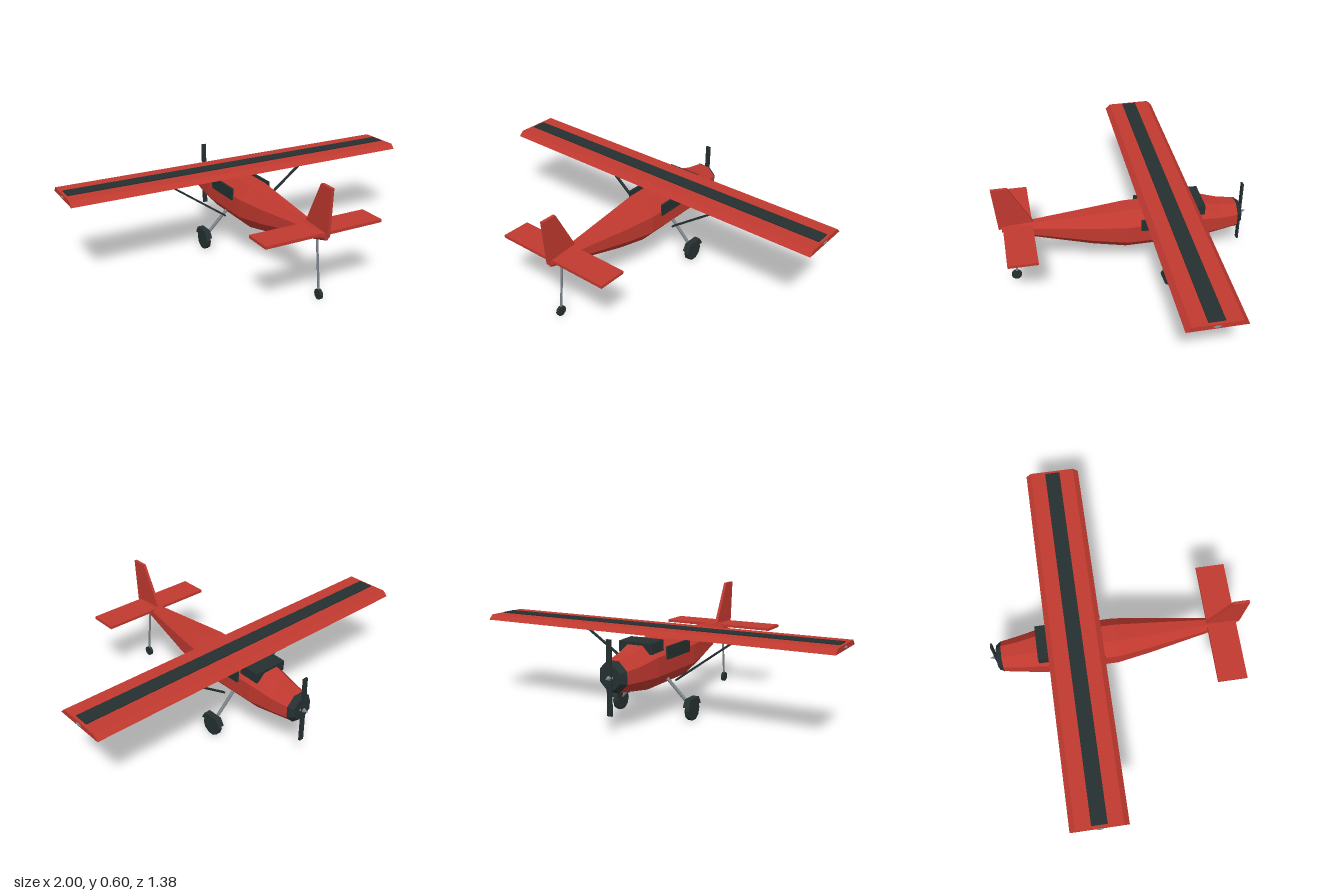
import * as THREE from 'three';

const mat = (name, color) => {
  const m = new THREE.MeshStandardMaterial({ color, flatShading: true });
  m.name = name;
  return m;
};

// Loft of eight-sided rings running from +z to -z: [z, bottom, top, halfWidth]
function octagonLoft(stations) {
  const k = 1 / Math.cos(Math.PI / 8);
  const rings = stations.map(([z, y0, y1, w]) => Array.from({ length: 8 }, (_, j) => {
    const a = (j + 0.5) * Math.PI / 4;
    return [Math.cos(a) * w * k, (y0 + y1) / 2 + Math.sin(a) * (y1 - y0) / 2 * k, z];
  }));
  const pos = [];
  const tri = (...pts) => pts.forEach((p) => pos.push(...p));
  const last = rings[rings.length - 1];
  for (let j = 0; j < 8; j++) {
    const n = (j + 1) % 8;
    for (let i = 0; i < rings.length - 1; i++) {
      const a = rings[i], b = rings[i + 1];
      tri(a[j], b[j], a[n]);
      tri(a[n], b[j], b[n]);
    }
    if (j > 0 && j < 7) {
      tri(rings[0][0], rings[0][j], rings[0][n]);
      tri(last[0], last[n], last[j]);
    }
  }
  const g = new THREE.BufferGeometry();
  g.setAttribute('position', new THREE.Float32BufferAttribute(pos, 3));
  g.computeVertexNormals();
  return g;
}

// Side outline given as [z, y], extruded across x and centred
function sideExtrude(points, width) {
  const shape = new THREE.Shape(points.map(([z, y]) => new THREE.Vector2(-z, y)));
  const g = new THREE.ExtrudeGeometry(shape, { depth: width, bevelEnabled: false });
  return g.translate(0, 0, -width / 2).rotateY(Math.PI / 2);
}

export function createModel() {
  const model = new THREE.Group();
  model.name = 'highWingPlane';
  const red = mat('red paint', 0xc0392f);
  const dark = mat('dark trim', 0x253030);
  const grey = mat('grey metal', 0x7a8288);

  const add = (name, geometry, material, x = 0, y = 0, z = 0) => {
    const m = new THREE.Mesh(geometry, material);
    m.name = name;
    m.position.set(x, y, z);
    model.add(m);
    return m;
  };
  const box = (w, h, d) => new THREE.BoxGeometry(w, h, d);
  // Straight member between two points
  const beam = (name, from, to, makeGeometry, material) => {
    const a = new THREE.Vector3(...from), b = new THREE.Vector3(...to);
    const mid = a.clone().add(b).multiplyScalar(0.5);
    add(name, makeGeometry(a.distanceTo(b)), material, mid.x, mid.y, mid.z).lookAt(b);
  };
  const rod = (r) => (len) => new THREE.CylinderGeometry(r, r, len, 8).rotateX(Math.PI / 2);
  const wheel = (r, w) => new THREE.CylinderGeometry(r, r, w, 10).rotateZ(Math.PI / 2);

  // Body and nose
  add('fuselage', octagonLoft([
    [0.655, 0.335, 0.373, 0.012], [0.18, 0.21, 0.402, 0.085], [0, 0.175, 0.415, 0.11],
    [-0.385, 0.175, 0.415, 0.11], [-0.52, 0.195, 0.375, 0.09], [-0.62, 0.21, 0.36, 0.074],
  ]), red);
  add('cowlRing', octagonLoft([[-0.617, 0.207, 0.363, 0.077], [-0.645, 0.23, 0.34, 0.056]]), dark);
  add('propeller', box(0.026, 0.37, 0.01), dark, 0, 0.285, -0.652);
  add('spinner', new THREE.ConeGeometry(0.018, 0.045, 8).rotateX(-Math.PI / 2), grey, 0, 0.285, -0.664);
  add('windshield', box(0.19, 0.055, 0.116), dark, 0, 0.392, -0.364).rotation.x = -0.03;

  // Wing with its top stripe
  add('wing', sideExtrude([[-0.075, 0.443], [-0.367, 0.443], [-0.34, 0.469], [-0.102, 0.469]], 1.986), red);
  add('wingStripe', box(1.956, 0.008, 0.08), dark, 0, 0.47, -0.22);

  // Tail surfaces
  add('tailplane', box(0.66, 0.015, 0.155), red, 0, 0.366, 0.571);
  add('fin', sideExtrude([[0.69, 0.606], [0.605, 0.606], [0.48, 0.37], [0.67, 0.355]], 0.016), red);

  // Tail wheel
  beam('tailWheelLeg', [0, 0.34, 0.573], [0, 0.03, 0.603], rod(0.006), grey);
  add('tailWheel', wheel(0.028, 0.016), dark, 0, 0.029, 0.603);

  // Mirrored parts
  const fender = sideExtrude([[-0.162, 0.08], [-0.296, 0.08], [-0.273, 0.118], [-0.185, 0.118]], 0.034);
  for (const [side, s] of [['left', 1], ['right', -1]]) {
    add(side + 'Window', box(0.012, 0.066, 0.234), dark, s * 0.113, 0.353, -0.189);
    beam(side + 'WingStrut', [s * 0.1, 0.188, -0.189], [s * 0.468, 0.447, -0.216],
      (len) => box(0.014, 0.009, len), dark);
    beam(side + 'GearLeg', [s * 0.07, 0.205, -0.228], [s * 0.212, 0.068, -0.228], rod(0.009), grey);
    add(side + 'Wheel', wheel(0.057, 0.026), dark, s * 0.215, 0.058, -0.228);
    add(side + 'Fender', fender, dark, s * 0.215);
    add(side + 'WingTipLight', new THREE.SphereGeometry(1, 8, 6).scale(0.01, 0.008, 0.022),
      grey, s * 0.99, 0.454, -0.219);
  }
  return model;
}
